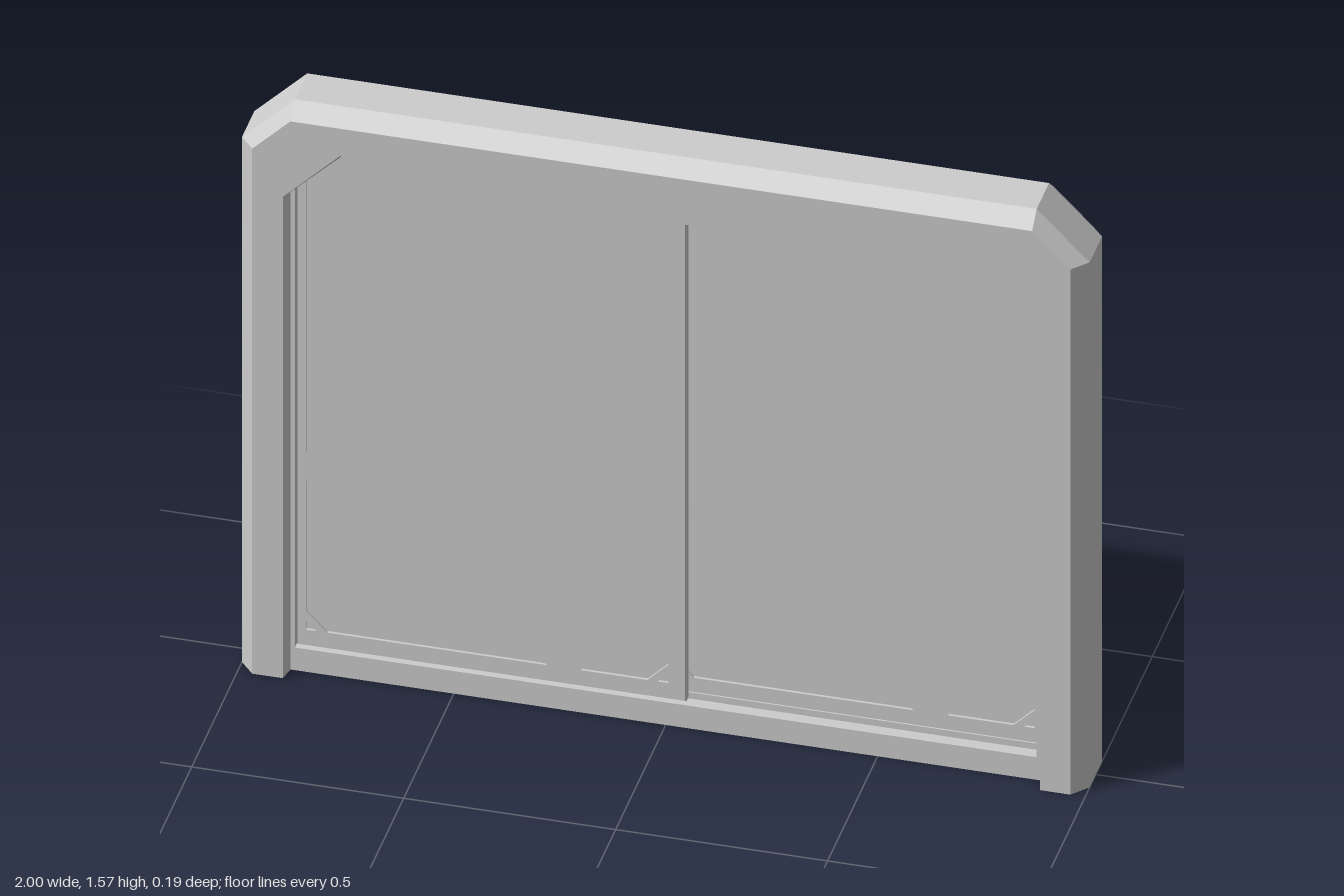
import * as THREE from 'three';

const grey = new THREE.MeshStandardMaterial({ color: 0xcccccc });
grey.name = 'lightGrey';

function mesh(geometry, name) {
  const m = new THREE.Mesh(geometry, grey);
  m.name = name;
  return m;
}

function box(name, x0, x1, y0, y1, z0, z1) {
  const m = mesh(new THREE.BoxGeometry(x1 - x0, y1 - y0, z1 - z0), name);
  m.position.set((x0 + x1) / 2, (y0 + y1) / 2, (z0 + z1) / 2);
  return m;
}

const shapeOf = (pts) => new THREE.Shape(pts.map((p) => new THREE.Vector2(...p)));
const rect = (x0, y0, x1, y1) => [[x0, y0], [x1, y0], [x1, y1], [x0, y1]];

// Slab of a flat outline, centred on z = 0
function slab(shape, depth) {
  const g = new THREE.ExtrudeGeometry(shape, { depth, bevelEnabled: false });
  g.translate(0, 0, -depth / 2);
  return g;
}

// Bevelled arch: a closed loop of profile rings, each a clipped-corner arch
function archGeometry() {
  // half width, corner height, corner x, top height, z
  const half = [
    [1, 1.44, 0.875, 1.565, 0.055],
    [0.965, 1.44, 0.875, 1.53, 0.095],
    [0.893, 1.32, 0.758, 1.455, 0.095],
    [0.885, 1.31, 0.75, 1.442, 0.056],
  ];
  const profile = [...half, ...half.map((r) => [...r.slice(0, 4), -r[4]]).reverse()];
  const rings = profile.map(([w, cy, cx, h, z]) =>
    [[-w, 0, z], [-w, cy, z], [-cx, h, z], [cx, h, z], [w, cy, z], [w, 0, z]]);
  const pos = [];
  const tri = (a, b, c) => pos.push(...a, ...b, ...c);
  rings.forEach((r, i) => {
    const n = rings[(i + 1) % rings.length];
    for (let j = 0; j < 5; j++) {
      tri(r[j], n[j], n[j + 1]);
      tri(r[j], n[j + 1], r[j + 1]);
    }
  });
  // feet of the two posts
  for (let i = 1; i < rings.length - 1; i++) {
    tri(rings[0][0], rings[i + 1][0], rings[i][0]);
    tri(rings[0][5], rings[i][5], rings[i + 1][5]);
  }
  const g = new THREE.BufferGeometry();
  g.setAttribute('position', new THREE.Float32BufferAttribute(pos, 3));
  g.computeVertexNormals();
  return g;
}

// Sliding door: rim, recessed pane, two diagonal bars, bottom corner braces
function door(name) {
  const thick = 0.03;
  const L = -0.855, R = 0, B = 0.1, T = 1.342;
  const g = new THREE.Group();
  g.name = name;
  const rim = shapeOf(rect(L - 0.04, 0.05, R + 0.04, 1.39));
  rim.holes.push(new THREE.Path(rect(L, B, R, T).reverse().map((p) => new THREE.Vector2(...p))));
  g.add(mesh(slab(rim, thick), 'doorRim'));
  g.add(box('doorPane', L, R, B, T, -thick / 2 + 0.007, thick / 2 - 0.007));
  const bars = [
    [[-0.605, T], [R, 0.89], [R, 0.95], [-0.535, T]],
    [[L, 0.51], [-0.285, B], [-0.205, B], [L, 0.585]],
  ];
  bars.forEach((b) => g.add(mesh(slab(shapeOf(b), thick), 'diagonalBar')));
  const c = 0.05, d = 0.025;
  g.add(mesh(slab(shapeOf([[L + d, B], [L + c, B], [L, B + c], [L, B + d]]), thick), 'cornerBrace'));
  g.add(mesh(slab(shapeOf([[R - c, B], [R - d, B], [R, B + d], [R, B + c]]), thick), 'cornerBrace'));
  return g;
}

export function createModel() {
  const model = new THREE.Group();
  model.name = 'slidingDoorFrame';
  model.add(mesh(archGeometry(), 'archFrame'));

  // Jamb liners
  for (const s of [-1, 1]) {
    const jamb = box('jamb', 0.875, 0.9, 0, 1.4, -0.056, 0.056);
    jamb.position.x *= s;
    model.add(jamb);
  }

  // Header and sill, each with two door tracks between three ridges
  model.add(box('header', -0.875, 0.875, 1.395, 1.47, -0.056, 0.056));
  model.add(box('sill', -0.88, 0.88, 0, 0.045, -0.056, 0.056));
  for (const [z0, z1] of [[-0.056, -0.039], [-0.002, 0.002], [0.039, 0.056]]) {
    model.add(box('headerRidge', -0.875, 0.875, 1.38, 1.395, z0, z1));
    model.add(box('sillRidge', -0.88, 0.88, 0.045, 0.062, z0, z1));
  }

  // Two overlapping doors on separate tracks
  const frontDoor = door('frontDoor');
  frontDoor.position.z = 0.018;
  const rearDoor = door('rearDoor');
  rearDoor.position.set(0.855, 0, -0.018);
  model.add(frontDoor, rearDoor);
  return model;
}
